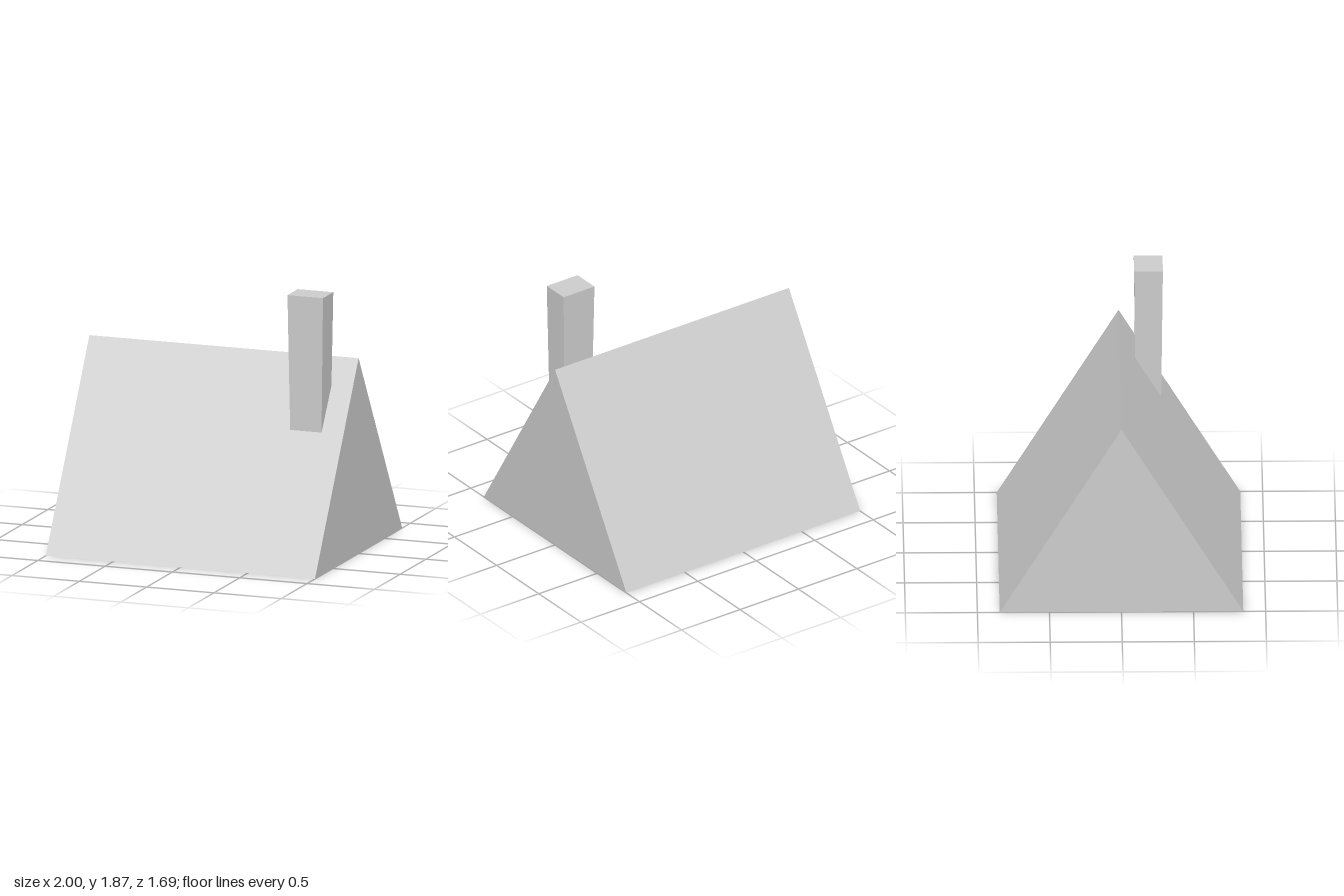
import * as THREE from 'three';

export function createModel() {
  const model = new THREE.Group();
  const grey = new THREE.MeshStandardMaterial({ color: 0xcccccc, flatShading: true, side: THREE.DoubleSide });
  grey.name = 'plain grey';

  // Roof shell: two triangular cross-sections joined by slopes, open underneath
  const halfDepth = 0.845, ridge = 1.39;
  const points = [-1, 1].flatMap(x => [x, 0, halfDepth, x, ridge, 0, x, 0, -halfDepth]);
  const roofGeometry = new THREE.BufferGeometry();
  roofGeometry.setAttribute('position', new THREE.Float32BufferAttribute(points, 3));
  roofGeometry.setIndex([
    0, 3, 4, 0, 4, 1, // front slope
    1, 4, 5, 1, 5, 2, // back slope
    0, 1, 2, 3, 5, 4, // gables
  ]);
  const flatRoof = roofGeometry.toNonIndexed();
  flatRoof.computeVertexNormals();
  const roof = new THREE.Mesh(flatRoof, grey);
  roof.name = 'roof';
  model.add(roof);

  // Chimney: box narrowing slightly towards its foot, sunk through the front slope
  const bottom = 0.85, top = 1.87;
  const chimneyGeometry = new THREE.BoxGeometry(0.264, top - bottom, 0.2);
  const position = chimneyGeometry.attributes.position;
  for (let i = 0; i < position.count; i++) {
    if (position.getY(i) < 0) {
      position.setX(i, position.getX(i) * 0.875);
      position.setZ(i, position.getZ(i) * 0.875);
    }
  }
  chimneyGeometry.computeVertexNormals();
  const chimney = new THREE.Mesh(chimneyGeometry, grey);
  chimney.name = 'chimney';
  chimney.position.set(0.72, (top + bottom) / 2, 0.204);
  model.add(chimney);

  return model;
}
